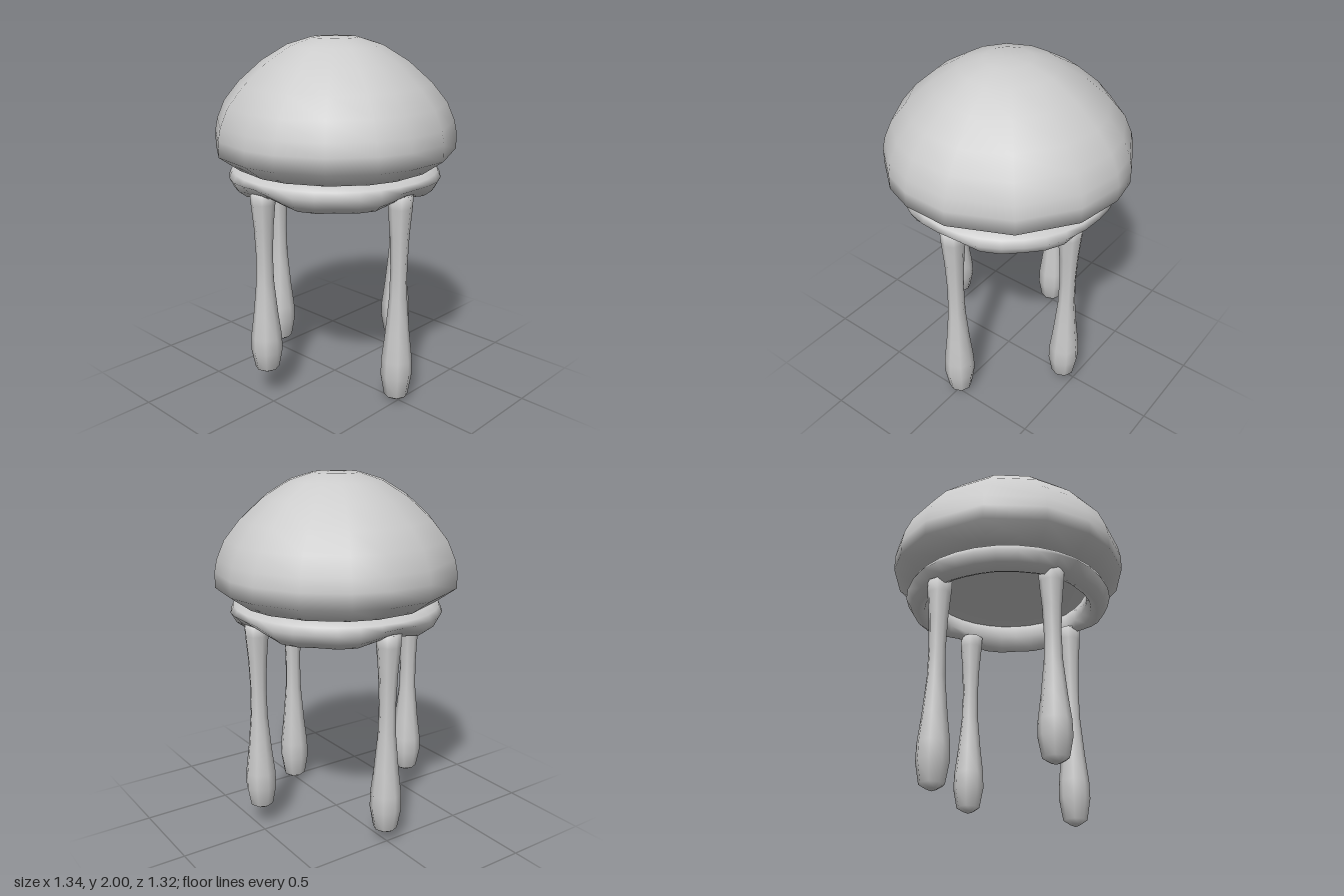
import * as THREE from 'three';
import { mergeVertices } from 'three/addons/utils/BufferGeometryUtils.js';

const material = new THREE.MeshStandardMaterial({ color: 0xcccccc, side: THREE.DoubleSide });

// Skins a stack of rings, listed so that the outside faces out; each ring is (angle) => [radius, height]
function loft(name, angles, rings) {
  const n = angles.length, positions = [], index = [];
  for (const ring of rings) {
    for (const a of angles) {
      const [r, y] = ring(a);
      positions.push(r * Math.cos(a), y, -r * Math.sin(a));
    }
  }
  for (let i = 0; i < rings.length - 1; i++) {
    for (let j = 0; j < n; j++) {
      const k = (j + 1) % n;
      const a = i * n + j, b = a + n, c = (i + 1) * n + k, d = i * n + k;
      index.push(a, b, c, a, c, d);
    }
  }
  let geometry = new THREE.BufferGeometry();
  geometry.setAttribute('position', new THREE.Float32BufferAttribute(positions, 3));
  geometry.setIndex(index);
  geometry = mergeVertices(geometry, 1e-4);
  geometry.computeVertexNormals();
  const mesh = new THREE.Mesh(geometry, material);
  mesh.name = name;
  return mesh;
}

const even = (n) => Array.from({ length: n }, (_, i) => (i / n) * Math.PI * 2);
const plain = (points) => points.map((p) => () => p);

export function createModel() {
  const model = new THREE.Group();
  model.name = 'jellyfish';

  // Bell: unevenly spaced sides, the same on both halves
  const half = [2, 17.5, 40, 62, 78, 100, 130, 159];
  const bellAngles = [...half, ...half.map((d) => d + 180)].map(THREE.MathUtils.degToRad);
  model.add(loft('bell', bellAngles, plain([
    [0, 2], [0.13, 1.995], [0.26, 1.955], [0.4, 1.87], [0.53, 1.755], [0.615, 1.65],
    [0.658, 1.55], [0.672, 1.48], [0.672, 1.395], [0.555, 1.312], [0.3, 1.315], [0, 1.32],
  ])));

  // Frill under the bell: a rolled lip whose lower edge waves up and down
  const wave = (a) => 0.014 * Math.cos(4 * a) + 0.008 * Math.cos(8 * a);
  model.add(loft('frill', even(32), [
    () => [0.46, 1.315],
    () => [0.54, 1.307],
    () => [0.575, 1.285],
    (a) => [0.593, 1.25 + wave(a) * 0.4],
    (a) => [0.555 - wave(a), 1.2 + wave(a) * 0.8],
    (a) => [0.51 - wave(a), 1.168 + wave(a)],
    (a) => [0.475 - wave(a), 1.185 + wave(a)],
    () => [0.46, 1.24],
    () => [0.46, 1.315],
  ]));

  // Tentacles: [x, z, height of the tip]; each is stretched from the frill to its tip
  const top = 1.21;
  const profile = [
    [0, 0], [0.069, 0], [0.066, 0.06], [0.053, 0.19], [0.046, 0.34], [0.049, 0.48],
    [0.068, 0.66], [0.086, 0.79], [0.088, 0.87], [0.067, 0.97], [0.03, 0.99], [0, 1],
  ];
  const tentacles = [[0, 0.48, 0], [0.47, 0.08, 0.1], [-0.47, -0.08, 0.15], [0, -0.48, 0.05]];
  for (const [x, z, tip] of tentacles) {
    const tentacle = loft('tentacle', even(8), plain(
      profile.map(([r, t]) => [r, top - t * (top - tip)])));
    tentacle.position.set(x, 0, z);
    model.add(tentacle);
  }
  return model;
}
